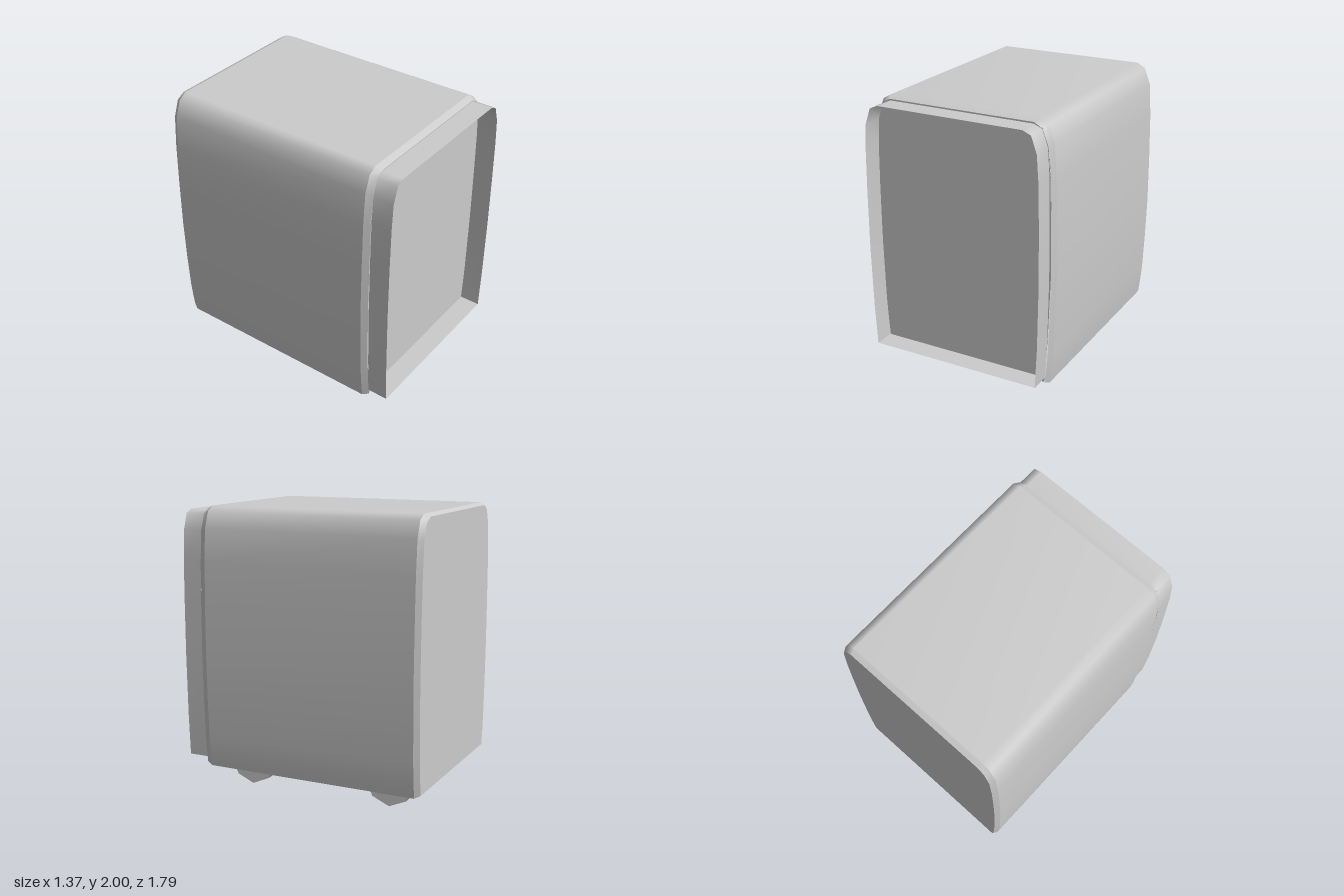
import * as THREE from 'three';
import { toCreasedNormals } from 'three/addons/utils/BufferGeometryUtils.js';

// Right half of the bulging cabinet outline, bottom to top
const SHELL = [[0.645, 0.152], [0.657, 0.25], [0.668, 0.38], [0.678, 0.65], [0.684, 0.95],
  [0.68, 1.3], [0.672, 1.62], [0.655, 1.85], [0.612, 1.965], [0.55, 2]];
// Right half of the front hood outline
const HOOD = [[0.628, 0.207], [0.642, 0.5], [0.65, 0.95], [0.648, 1.35], [0.642, 1.65], [0.63, 1.83], [0.59, 1.945], [0.53, 1.97]];
// Right half of the front panel outline
const PANEL = [[0.622, 0.172], [0.645, 0.5], [0.662, 0.95], [0.66, 1.35], [0.653, 1.65], [0.636, 1.83], [0.595, 1.95], [0.535, 1.98]];
// Side outline of a foot
const FOOT = [[-0.165, 0.172], [-0.165, 0.15], [-0.125, 0.055], [0, 0], [0.125, 0.055], [0.165, 0.15], [0.165, 0.172]];

// Full outline: up the right side, over the top, down the left side
const mirror = half => [...half, ...half.map(([x, y]) => [-x, y]).reverse()];
const toShape = pts => new THREE.Shape(pts.map(([x, y]) => new THREE.Vector2(x, y)));

// Smooth strip between two outlines, from back to front
function loft(ptsA, zA, ptsB, zB) {
  const n = ptsA.length, pos = [], idx = [];
  for (const [pts, z] of [[ptsA, zA], [ptsB, zB]]) for (const [x, y] of pts) pos.push(x, y, z);
  for (let i = 0; i < n - 1; i++) idx.push(i, i + 1, n + i, i + 1, n + i + 1, n + i);
  const g = new THREE.BufferGeometry();
  g.setAttribute('position', new THREE.Float32BufferAttribute(pos, 3));
  g.setIndex(idx);
  g.computeVertexNormals();
  return g;
}

export function createModel() {
  const model = new THREE.Group();
  model.name = 'cabinet';
  const grey = new THREE.MeshStandardMaterial({ color: 0xcccccc, side: THREE.DoubleSide });
  grey.name = 'light grey';
  const group = name => {
    const g = new THREE.Group();
    g.name = name;
    model.add(g);
    return g;
  };
  const add = (name, geometry, parent = model) => {
    const m = new THREE.Mesh(geometry, grey);
    m.name = name;
    parent.add(m);
    return m;
  };

  // Outer shell with bevelled front and back edges
  const shell = group('shell');
  const full = mirror(SHELL);
  const end = full.map(([x, y]) => [x * 0.97, 1.08 + (y - 1.08) * 0.98]);
  add('shellWall', loft(full, -0.855, full, 0.705), shell);
  add('shellFrontBevel', loft(full, 0.705, end, 0.75), shell);
  add('shellBackBevel', loft(end, -0.893, full, -0.855), shell);

  // Flat back, facing -z
  const back = new THREE.ShapeGeometry(toShape(end));
  back.rotateY(Math.PI);
  add('backPanel', back, shell).position.z = -0.893;

  // Floor, joined to the lower edges of the side walls
  add('floor', new THREE.BoxGeometry(1.24, 0.012, 1.635)).position.set(0, 0.178, -0.07);
  const underLeft = [[0.62, 0.172], [0.645, 0.152]];
  const underRight = underLeft.map(([x, y]) => [-x, y]).reverse();
  add('leftLowerEdge', loft(underLeft, -0.855, underLeft, 0.705));
  add('rightLowerEdge', loft(underRight, -0.855, underRight, 0.705));

  // Recessed front panel
  add('frontPanel', new THREE.ShapeGeometry(toShape(mirror(PANEL)))).position.z = 0.747;

  // Thin hood around the front panel
  const hood = group('hood');
  const rim = mirror(HOOD), sill = [rim[rim.length - 1], rim[0]];
  add('hoodWall', loft(rim, 0.745, rim, 0.895), hood);
  add('hoodSill', loft(sill, 0.745, sill, 0.895), hood);

  // Faceted feet with softened rims, hanging from a thin rail on each side
  const extruded = new THREE.ExtrudeGeometry(toShape(FOOT), { depth: 0.055, bevelEnabled: false });
  extruded.translate(0, 0, -0.0275);
  extruded.rotateY(Math.PI / 2);
  const foot = toCreasedNormals(extruded, 1);
  for (const s of [1, -1]) {
    const name = s > 0 ? 'left' : 'right';
    add(name + 'Rail', new THREE.BoxGeometry(0.12, 0.004, 1.5)).position.set(s * 0.48, 0.152, -0.07);
    add(name + 'RailEnd', new THREE.BoxGeometry(0.12, 0.022, 0.004)).position.set(s * 0.48, 0.161, 0.678);
    add(name + 'FrontFoot', foot).position.set(s * 0.4475, 0, 0.465);
    add(name + 'BackFoot', foot).position.set(s * 0.4475, 0, -0.605);
  }
  return model;
}
